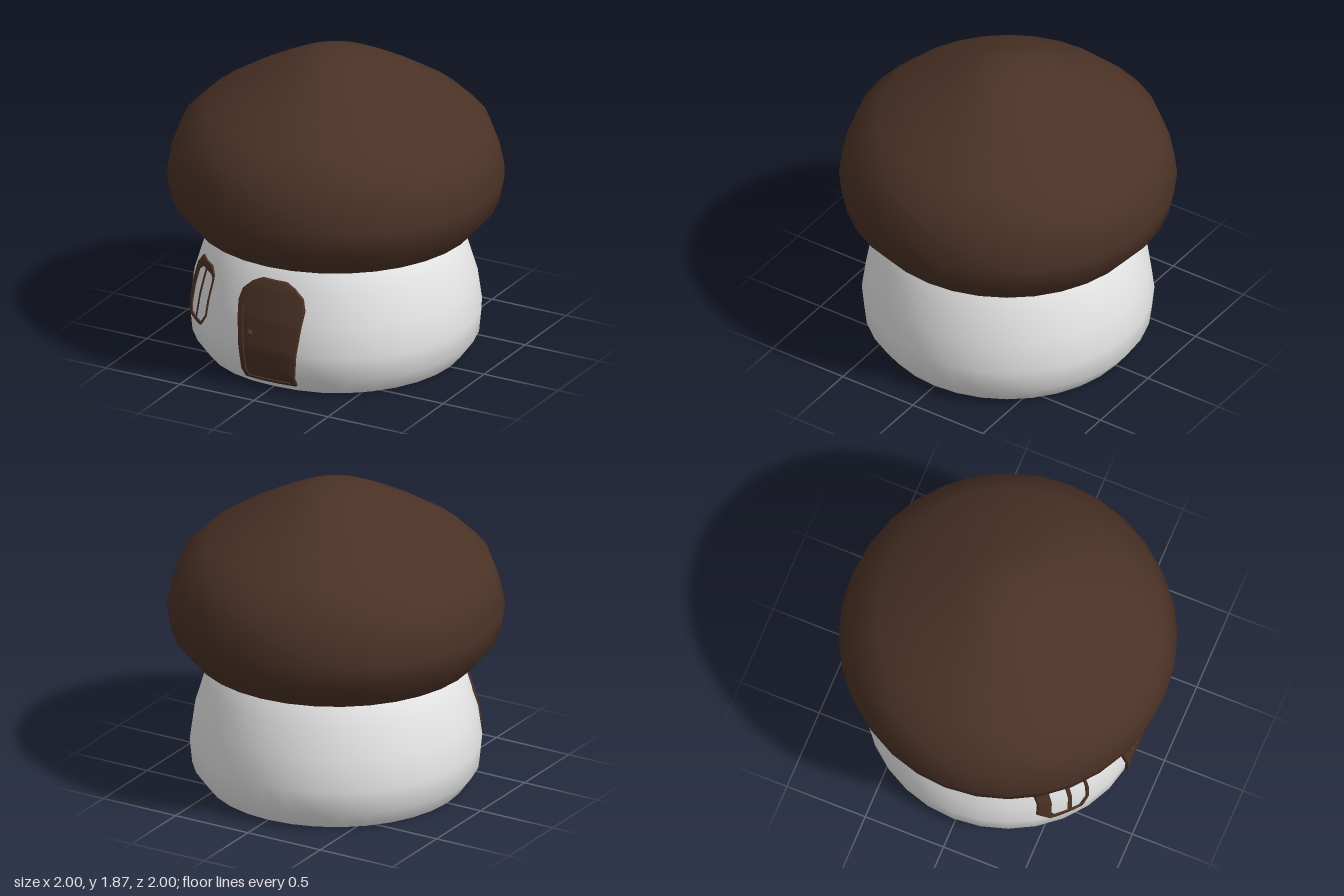
import * as THREE from 'three';
import { mergeVertices } from 'three/addons/utils/BufferGeometryUtils.js';

const SEGMENTS = 32;
const WALL = [[0.77, 0], [0.85, 0.11], [0.865, 0.26], [0.84, 0.44], [0.78, 0.64], [0.7, 0.8], [0.58, 0.92]];
const CAP = [[0.84, 0.8], [0.97, 0.95], [1, 1.1], [0.97, 1.25], [0.915, 1.4], [0.78, 1.53],
  [0.59, 1.65], [0.41, 1.75], [0.27, 1.82], [0.145, 1.865], [0, 1.868]];

// The wall is pressed in slightly around the door
const dent = (angle) => 1 - 0.022 * Math.exp(-((angle / 0.35) ** 2));

function wallRadius(y) {
  let i = 0;
  while (i < WALL.length - 2 && y > WALL[i + 1][1]) i++;
  const [r0, y0] = WALL[i], [r1, y1] = WALL[i + 1];
  return r0 + (r1 - r0) * (y - y0) / (y1 - y0);
}

// Drops a point of the front elevation onto the wall
function onWall(x, y, offset) {
  let z = wallRadius(y);
  for (let i = 0; i < 4; i++) {
    const r = wallRadius(y) * dent(Math.atan2(x, z)) + offset;
    z = Math.sqrt(r * r - x * x);
  }
  return [x, y, z];
}

function lathe(profile) {
  return new THREE.LatheGeometry(profile.map(([r, y]) => new THREE.Vector2(r, y)), SEGMENTS, Math.PI);
}

// Splits each edge of a closed outline
function densify(outline, steps = 6) {
  return outline.flatMap(([x, y], i) => {
    const [nx, ny] = outline[(i + 1) % outline.length];
    return Array.from({ length: steps }, (_, s) => [x + (nx - x) * s / steps, y + (ny - y) * s / steps]);
  });
}

// Skin between two outlines on the wall; rows are [blend, height above the wall]
function wallSkin(inner, outer, rows, crisp) {
  const a = densify(inner), b = densify(outer), n = a.length;
  const positions = [], index = [];
  rows.forEach(([t, offset], row) => {
    for (let i = 0; i < n; i++) {
      const x = a[i][0] + (b[i][0] - a[i][0]) * t;
      const y = a[i][1] + (b[i][1] - a[i][1]) * t;
      positions.push(...onWall(x, y, offset));
      if (row === 0) continue;
      const j = (i + 1) % n, lo = (row - 1) * n, hi = row * n;
      index.push(lo + i, hi + i, hi + j, lo + i, hi + j, lo + j);
    }
  });
  let geometry = new THREE.BufferGeometry();
  geometry.setAttribute('position', new THREE.Float32BufferAttribute(positions, 3));
  geometry.setIndex(index);
  if (crisp) geometry = geometry.toNonIndexed();
  geometry.computeVertexNormals();
  return geometry;
}

const raised = (h) => [[0, 0], [0, h], [0.5, h], [1, h], [1, -0.01]];

export function createModel() {
  const group = new THREE.Group();
  const brown = new THREE.MeshStandardMaterial({ color: 0x4b3226 });
  brown.name = 'dark brown';
  const white = new THREE.MeshStandardMaterial({ color: 0xe8e8e8 });
  white.name = 'off white';
  const add = (name, geometry, material) => {
    const mesh = new THREE.Mesh(geometry, material);
    mesh.name = name;
    group.add(mesh);
    return mesh;
  };

  // Cap with its pale underside
  add('cap', lathe(CAP), brown);
  add('capUnderside', lathe([[0.56, 0.91], [0.72, 0.86], [0.84, 0.8]]), white);

  // Rounded wall, dented at the front, and its base
  let wall = lathe(WALL);
  const p = wall.attributes.position;
  for (let i = 0; i < p.count; i++) {
    const d = dent(Math.atan2(p.getX(i), p.getZ(i)));
    p.setXYZ(i, p.getX(i) * d, p.getY(i), p.getZ(i) * d);
  }
  wall.deleteAttribute('uv');
  wall.deleteAttribute('normal');
  wall = mergeVertices(wall, 1e-4);
  wall.computeVertexNormals();
  add('wall', wall, white);
  add('base', lathe([[0, 0], [0.77, 0]]), white);

  // Arched door, wider at the shoulders
  const half = [[0.17, 0.045], [0.19, 0.25], [0.22, 0.53], [0.2, 0.6], [0.145, 0.65], [0.08, 0.68]];
  const doorOuter = [...half, ...half.map(([x, y]) => [-x, y]).reverse()];
  const doorInner = doorOuter.map(([x, y]) => [x * 0.83, 0.34 + (y - 0.34) * (y > 0.34 ? 0.87 : 0.93)]);
  const doorCentre = doorOuter.map(() => [0, 0.36]);
  const fill = Array.from({ length: 11 }, (_, i) => [i / 10, 0.006]);
  add('door', wallSkin(doorCentre, doorInner, fill, false), brown);
  add('doorFrame', wallSkin(doorInner, doorOuter, raised(0.018), true), brown);
  const knob = add('doorKnob', new THREE.SphereGeometry(0.02, 12, 8), brown);
  knob.position.set(...onWall(-0.12, 0.35, 0.012));

  // Window frame and its middle bar
  const windowOuter = [[-0.68, 0.26], [-0.53, 0.26], [-0.482, 0.33], [-0.455, 0.54], [-0.455, 0.58],
    [-0.49, 0.62], [-0.62, 0.62], [-0.678, 0.55], [-0.713, 0.33]];
  const windowInner = [[-0.655, 0.28], [-0.535, 0.275], [-0.492, 0.335], [-0.466, 0.54], [-0.467, 0.565],
    [-0.49, 0.58], [-0.58, 0.58], [-0.635, 0.53], [-0.667, 0.33]];
  add('windowFrame', wallSkin(windowInner, windowOuter, raised(0.01), true), brown);
  const bar = [[-0.602, 0.27], [-0.582, 0.27], [-0.535, 0.59], [-0.555, 0.59]];
  const barCentre = bar.map(([, y]) => [y < 0.4 ? -0.592 : -0.545, y]);
  add('windowBar', wallSkin(barCentre, bar, [[0, 0.007], [1, 0.007]], false), brown);

  return group;
}
